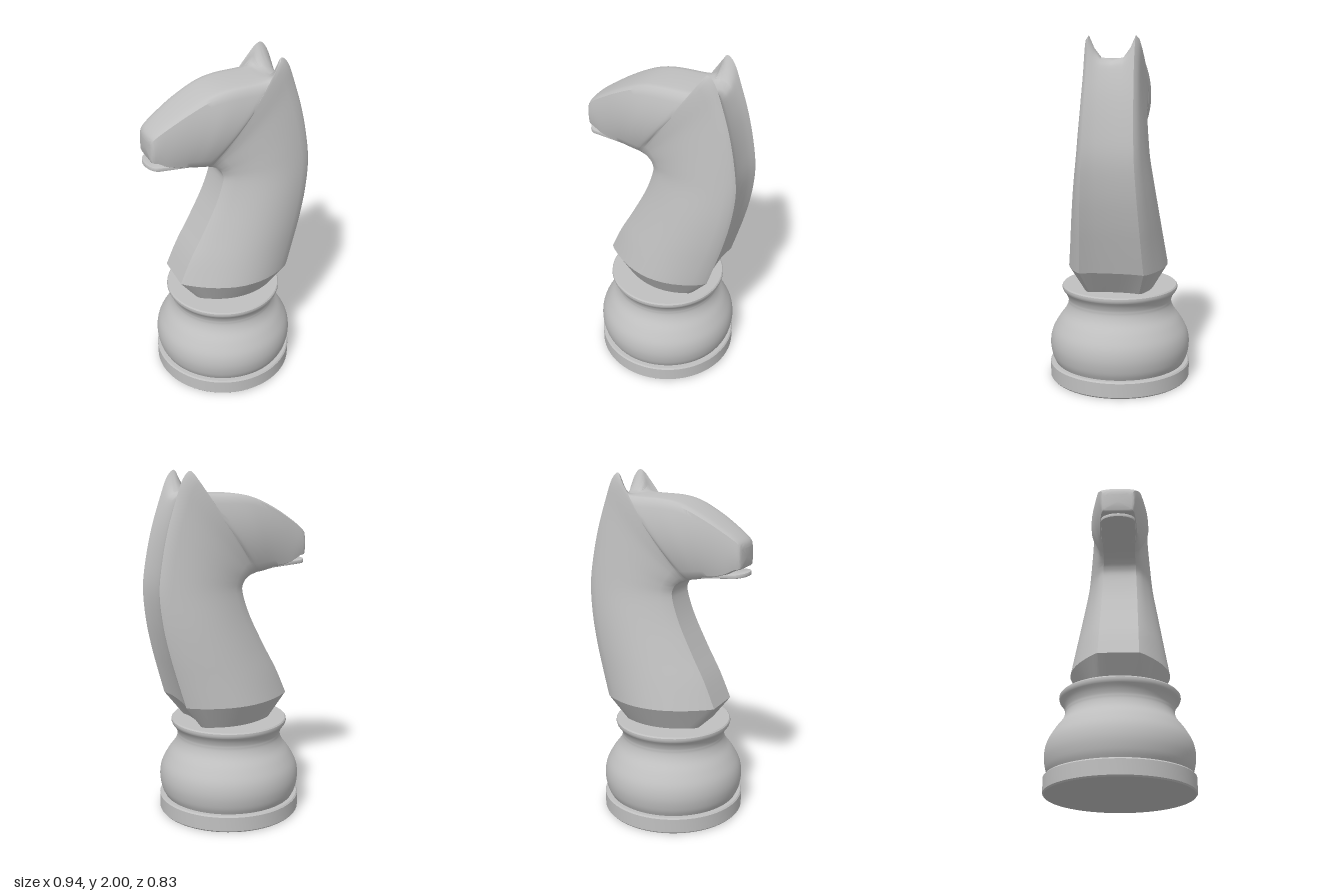
import * as THREE from 'three';
import { toCreasedNormals } from 'three/addons/utils/BufferGeometryUtils.js';

const stone = new THREE.MeshStandardMaterial({ color: 0xc0c0c0 });
stone.name = 'pale grey';

function part(name, geometry, crease = 0.6) {
  const mesh = new THREE.Mesh(toCreasedNormals(geometry, crease), stone);
  mesh.name = name;
  return mesh;
}

// A section: throat point, mane edge, mane centre line and flank half-width.
// The throat and mane widths follow from the flank width.
function section(fx, fy, bx, by, cx, cy, flank) {
  const throat = Math.min(0.08 + 0.2 * flank, 0.92 * flank);
  const mane = Math.min(0.055 + 0.525 * flank, 0.93 * flank);
  return [fx, fy, bx, by, cx, cy, throat, flank, mane];
}
const neckSection = ([fx, fy, bx, by, w]) => section(fx, fy, bx, by, bx - 0.02, by, w);
const headSection = ([fx, fy, bx, by, w]) => section(fx, fy, bx, by, bx - 0.005, by + 0.005, w);

// One closed ring: throat edge, bulging flank, mane edge, then the mirrored half.
function ring([fx, fy, bx, by, cx, cy, wf, wm, wb]) {
  const half = [[fx, fy, 0], [fx, fy, wf * 0.45], [fx, fy, wf * 0.82]];
  const steps = 12;
  for (let i = 0; i <= steps; i++) {
    const s = i / steps;
    const t = 0.035 + 0.93 * s;
    const z = wf * (1 - s) * (1 - 2 * s) + 4 * wm * s * (1 - s) + wb * s * (2 * s - 1);
    half.push([fx + (bx - fx) * t, fy + (by - fy) * t, z]);
  }
  half.push([bx, by, wb * 0.88]);
  half.push([(bx + cx) / 2, (by + cy) / 2, wb * 0.68]);
  half.push([cx + (bx - cx) * 0.1, cy + (by - cy) * 0.1, wb * 0.42]);
  half.push([cx, cy, 0]);
  const mirror = half.slice(1, -1).reverse().map(([x, y, z]) => [x, y, -z]);
  return half.concat(mirror);
}

// Smoothly interpolate between sections.
function refine(rows, sub) {
  const out = [];
  for (let i = 0; i < rows.length - 1; i++) {
    const a = rows[Math.max(i - 1, 0)], b = rows[i], c = rows[i + 1];
    const d = rows[Math.min(i + 2, rows.length - 1)];
    for (let k = 0; k < sub; k++) {
      const t = k / sub;
      out.push(b.map((v, n) => v + 0.5 * t * (c[n] - a[n]
        + t * (2 * a[n] - 5 * v + 4 * c[n] - d[n] + t * (3 * (v - c[n]) + d[n] - a[n])))));
    }
  }
  out.push(rows[rows.length - 1]);
  return out;
}

// Skin the rings and close both ends.
function loft(rows) {
  const rings = rows.map(ring), n = rings[0].length, pos = rings.flat(2), index = [];
  for (let i = 0; i < rings.length - 1; i++) {
    for (let j = 0; j < n; j++) {
      const a = i * n + j, b = i * n + (j + 1) % n;
      index.push(a, b, b + n, a, b + n, a + n);
    }
  }
  [0, rings.length - 1].forEach((r, end) => {
    const mid = pos.length / 3, row = rows[r];
    pos.push((row[0] + row[2]) / 2, (row[1] + row[3]) / 2, 0);
    for (let j = 0; j < n; j++) {
      const a = r * n + j, b = r * n + (j + 1) % n;
      index.push(mid, end ? a : b, end ? b : a);
    }
  });
  const g = new THREE.BufferGeometry();
  g.setAttribute('position', new THREE.Float32BufferAttribute(pos, 3));
  g.setIndex(index);
  return g;
}

function lathe(points) {
  return new THREE.LatheGeometry(points.map(([r, y]) => new THREE.Vector2(r, y)), 72);
}

export function createModel() {
  const group = new THREE.Group();

  // Turned pedestal
  const foot = part('footRing', lathe([[0, 0], [0.41, 0], [0.417, 0.008], [0.417, 0.09],
    [0.41, 0.098], [0, 0.098]]));
  const curve = new THREE.SplineCurve([[0.385, 0.095], [0.405, 0.14], [0.415, 0.21], [0.403, 0.28],
    [0.365, 0.35], [0.322, 0.41], [0.306, 0.46], [0.316, 0.5], [0.338, 0.532]]
    .map(p => new THREE.Vector2(...p)));
  const bowl = part('bowl', lathe([...curve.getPoints(36).map(p => [p.x, p.y]),
    [0.342, 0.545], [0.341, 0.556], [0.335, 0.563], [0, 0.563]]));
  foot.position.x = bowl.position.x = -0.005;
  group.add(foot, bowl);

  // Neck: throat x,y, mane x,y, flank half-width
  const neck = [
    [-0.325, 0.7, 0.335, 0.7, 0.285],
    [-0.26, 0.85, 0.378, 0.85, 0.265],
    [-0.18, 1.0, 0.418, 1.0, 0.246],
    [-0.092, 1.18, 0.452, 1.17, 0.223],
    [-0.047, 1.32, 0.467, 1.35, 0.2],
    [-0.056, 1.375, 0.447, 1.52, 0.188],
    [-0.08, 1.402, 0.41, 1.69, 0.178],
  ].map(neckSection);

  // Ears: outer edge x,y rises to the tip while the centre x,y stays low
  const ears = [
    [0.36, 1.85, 0.345, 1.82],
    [0.318, 1.96, 0.32, 1.855],
    [0.275, 2.0, 0.285, 1.87],
    [0.247, 1.955, 0.25, 1.874],
    [0.225, 1.895, 0.22, 1.876],
  ].map((p, i) => section(-0.1 - 0.01 * i, 1.415 + 0.0035 * i, ...p, 0.17));

  // Head: jaw x,y, brow x,y, cheek half-width
  const head = [
    [-0.155, 1.431, 0.17, 1.874, 0.175],
    [-0.19, 1.437, 0, 1.869, 0.17],
    [-0.24, 1.447, -0.12, 1.846, 0.155],
    [-0.31, 1.457, -0.25, 1.785, 0.135],
    [-0.37, 1.477, -0.36, 1.718, 0.117],
    [-0.42, 1.505, -0.423, 1.673, 0.104],
    [-0.45, 1.513, -0.448, 1.646, 0.094],
    [-0.458, 1.53, -0.456, 1.618, 0.08],
  ].map(headSection);
  group.add(part('horseNeckAndHead', loft(refine([...neck, ...ears, ...head], 4)), 0.65));

  // Flared collar under the neck
  const collarBottom = neckSection([-0.215, 0.555, 0.225, 0.555, 0.2]);
  group.add(part('collar', loft([collarBottom, neck[0]])));

  // Thin lower lip with a rounded front, sloping up from the jaw
  const s = new THREE.Shape();
  s.moveTo(-0.22, -0.1);
  s.lineTo(-0.22, 0.1);
  s.lineTo(-0.42, 0.097);
  s.bezierCurveTo(-0.455, 0.09, -0.473, 0.04, -0.473, 0);
  s.bezierCurveTo(-0.473, -0.04, -0.455, -0.09, -0.42, -0.097);
  s.closePath();
  const lip = new THREE.ExtrudeGeometry(s, { depth: 0.012, bevelThickness: 0.005,
    bevelSize: 0.004, bevelOffset: -0.004, bevelSegments: 2, curveSegments: 12 });
  lip.rotateX(-Math.PI / 2);
  lip.translate(0.47, 0, 0).rotateZ(-0.08).translate(-0.47, 1.472, 0);
  group.add(part('lowerLip', lip));

  return group;
}
